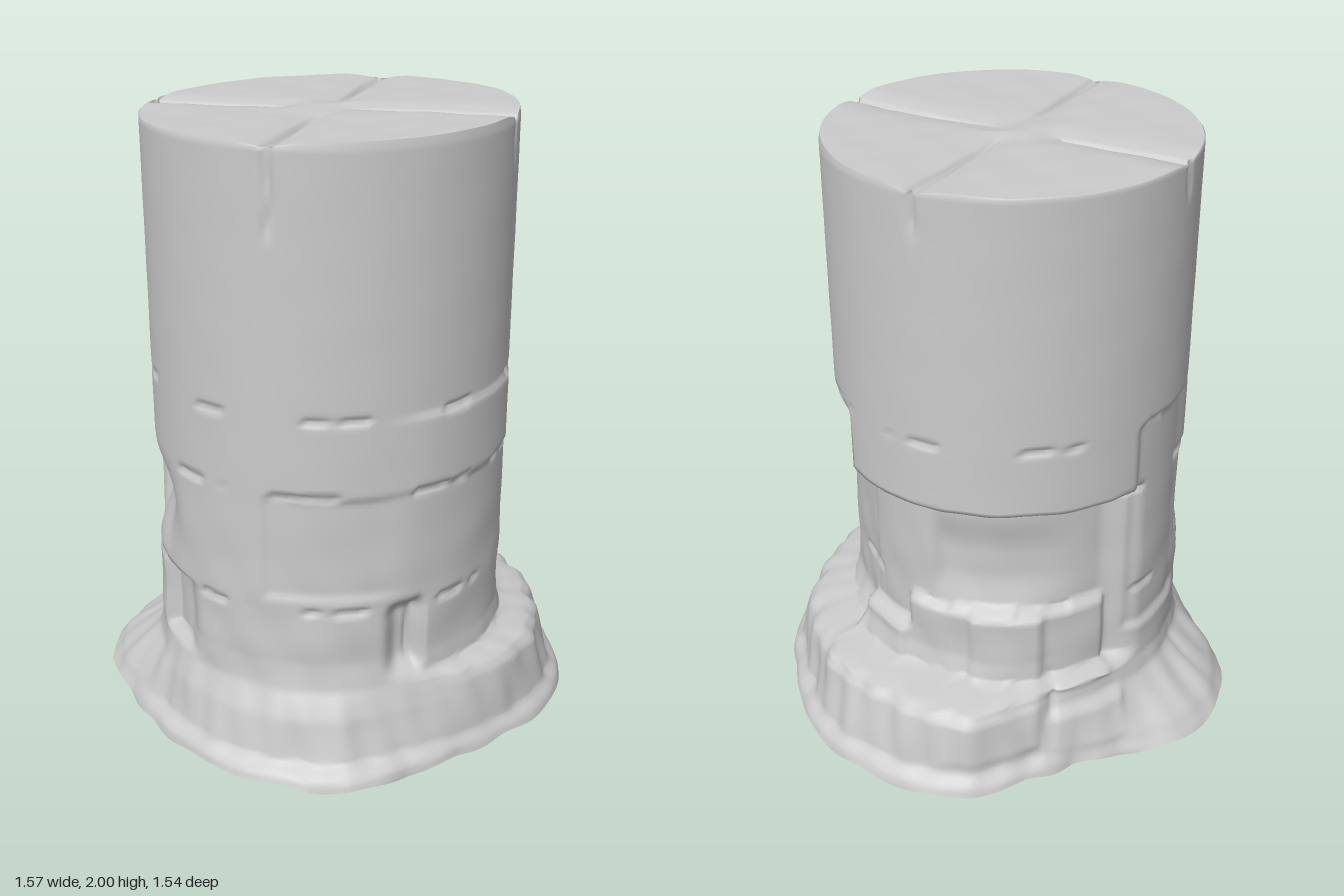
import * as THREE from 'three';

const SEG = 256, ROWS = 160, RINGS = 40;
const CX = 0.005, CZ = 0.05;
const stone = new THREE.MeshStandardMaterial({ color: 0xcccccc, side: THREE.DoubleSide });

// Outline of the flared foot: radius every 15 degrees, from +x towards -z
const RIM = [0.78, 0.8, 0.785, 0.76, 0.765, 0.78, 0.772, 0.77, 0.76, 0.68, 0.635, 0.67,
  0.765, 0.815, 0.8, 0.745, 0.735, 0.74, 0.77, 0.78, 0.79, 0.73, 0.715, 0.745];

// Flare amount against height: front slope, steep left side, and stepped ledge
const SLOPE = [[0, 1], [0.03, 0.93], [0.06, 0.62], [0.19, 0.36], [0.27, 0.08], [0.36, 0]];
const STEEP = [[0, 1], [0.03, 0.88], [0.06, 0.78], [0.15, 0.32], [0.2, 0.08], [0.26, 0]];
const LEDGE = [[0, 1], [0.03, 0.95], [0.06, 0.8], [0.24, 0.62], [0.275, 0.46], [0.29, 0.06], [0.36, 0]];

// Carved areas: [start deg, end deg, start blur, end blur, bottom, top, blur, push]
const PATCHES = [
  [36, 67, 50, 4, 0.3, 1.1, 0.2, -0.085],      // worn hollow beside the slab
  [67, 170, 4, 16, 0.29, 0.95, 0.025, -0.08],  // recess under the slab
  [100, 145, 6, 40, 0.6, 0.84, 0.16, -0.025],
  [172, 206, 3, 12, 0.4, 1.18, 0.03, -0.016],  // side set back
  [-40, 14, 20, 10, 0.94, 1.18, 0.02, 0.01],   // side bulging
  [207, 234, 4, 24, 0.66, 0.86, 0.2, -0.055],  // front hollows
  [228, 246, 3, 14, 0.3, 0.55, 0.03, -0.045],
  [316, 326, 7, 4, 0.32, 0.55, 0.06, -0.045],
  [277, 316, 3, 14, 0.6, 0.93, 0.03, -0.01]
];
// Courses of stones around the back
for (let i = 0; i < 4; i++) {
  const start = 64 + i * 25;
  PATCHES.push([start, start + 25, 3, 3, 0.28, i === 0 ? 0.42 : 0.55, 0.04, i % 2 ? 0.03 : 0.05]);
}
for (let i = 0; i < 2; i++) {
  const start = 112 + i * 29;
  PATCHES.push([start, start + 26, 4, 4, 0.1 - i * 0.04, 0.26 - i * 0.06, 0.04, 0.03]);
}

// Cracks across the top
const CRACKS = [
  [[-0.1, -0.55], [-0.06, -0.3], [-0.02, -0.06]],
  [[0.6, -0.05], [0.32, -0.02], [0.06, 0.04], [0.03, 0.2], [0.11, 0.66]],
  [[-0.59, 0.16], [-0.35, 0.12], [-0.16, 0.08]]
];

// Vertical splits: [angle deg, bottom, top]
const SPLITS = [[280, 1.74, 2.05], [9, 1.87, 2.05], [100, 1.86, 2.05], [191, 1.88, 2.05],
  [324, 0.34, 0.55], [85, 0.05, 0.28], [142, 0.02, 0.3], [200, 0.05, 0.2], [52, 0.06, 0.26]];

const smooth = THREE.MathUtils.smoothstep;
const band = (v, a, b, s, e = s) => smooth(v, a - s / 2, a + s / 2) * (1 - smooth(v, b - e / 2, b + e / 2));
const bump = (d, w) => Math.exp(-(d * d) / (w * w));
const angleGap = (a, b) => ((a - b + 540) % 360) - 180;

function noise(a, y) {
  return (Math.sin(a * 5 + y * 7) + Math.sin(a * 11 - y * 13 + 1) + Math.sin(a * 19 + y * 23 + 2)
    + Math.sin(a * 3 - y * 31)) / 4;
}

function ramp(points, y) {
  for (let i = 1; i < points.length; i++) {
    const [y0, v0] = points[i - 1], [y1, v1] = points[i];
    if (y <= y1) return v0 + (v1 - v0) * Math.max(0, (y - y0) / (y1 - y0));
  }
  return 0;
}

function rimRadius(deg) {
  const i = Math.floor(deg / 15) % 24, t = deg / 15 - Math.floor(deg / 15);
  return THREE.MathUtils.lerp(RIM[i], RIM[(i + 1) % 24], t);
}

function topHeight(x, z) {
  let nearest = 1;
  for (const path of CRACKS) {
    for (let i = 1; i < path.length; i++) {
      const [ax, az] = path[i - 1], [bx, bz] = path[i];
      const dx = bx - ax, dz = bz - az;
      const t = THREE.MathUtils.clamp(((x - ax) * dx + (z - az) * dz) / (dx * dx + dz * dz), 0, 1);
      nearest = Math.min(nearest, Math.hypot(x - ax - dx * t, z - az - dz * t));
    }
  }
  const r = Math.hypot(x - CX, z - CZ);
  return 1.99 + 0.01 * x / 0.58 - 0.022 * bump(nearest, 0.01) * smooth(r, 0, 0.4)
    - 0.012 * bump(nearest, 0.06) + 0.002 * noise(x * 2, z);
}

// A point on the weathered wall; t runs from foot to top
function wallPoint(a, t) {
  const deg = THREE.MathUtils.radToDeg(a), c = Math.cos(a), s = -Math.sin(a);
  const foot = 0.01 + 0.01 * Math.sin(a * 6) * Math.sin(a * 11 + 1);
  const y = foot + (1.99 - foot) * t;
  let r = 0.575 + 0.013 * s * s;
  for (const [a0, a1, s0, s1, y0, y1, blur, push] of PATCHES) {
    const half = (a1 - a0) / 2;
    r += push * band(angleGap(deg, a0 + half), -half, half, s0, s1) * band(y, y0, y1, blur);
  }
  // Broken horizontal joints
  for (const [level, depth, gap] of [[1.185, 0.014, 0.15], [0.94, 0.016, -0.1], [0.55, 0.016, 0.1]]) {
    const on = smooth(Math.sin(a * 9 + level * 20) + 0.6 * Math.sin(a * 23 + level * 9), gap, gap + 0.6);
    r -= depth * on * bump(y - level - 0.004 * noise(a, 1), 0.009);
  }
  for (const [at, y0, y1] of SPLITS) {
    r -= 0.016 * bump(angleGap(deg, at + 0.5 * Math.sin(y * 25)), 0.9) * band(y, y0, y1, 0.1);
  }
  r += noise(a, y) * (0.0006 + 0.006 * (1 - smooth(y, 0.2, 1)));
  r -= 0.005 * smooth(y, 1.975, 1.995);
  // Blend towards the foot outline
  const ledge = band(angleGap(deg, 48), -78, 84, 35, 24);
  const steep = band(deg, 145, 235, 25);
  let f = THREE.MathUtils.lerp(ramp(SLOPE, y - 0.01), ramp(STEEP, y - 0.01), steep);
  f = THREE.MathUtils.lerp(f, ramp(LEDGE, y - 0.01), ledge);
  f = Math.max(0, f + 0.36 * f * (1 - f) * noise(a * 2, y * 0.5));
  const rim = rimRadius(deg) + 0.004 * Math.sin(a * 17) * Math.sin(a * 7);
  const x = THREE.MathUtils.lerp(CX + r * c, rim * c, f);
  const z = THREE.MathUtils.lerp(CZ + r * s, rim * s, f);
  return [x, t === 1 ? topHeight(x, z) : y, z];
}

function topPoint(a, t) {
  const [ex, , ez] = wallPoint(a, 1);
  const x = THREE.MathUtils.lerp(ex, CX, t), z = THREE.MathUtils.lerp(ez, CZ, t);
  return [x, topHeight(x, z), z];
}

// Closed loops of points joined into a smooth skin
function skin(point, rows) {
  const positions = [], index = [];
  for (let j = 0; j <= rows; j++) {
    for (let i = 0; i < SEG; i++) {
      positions.push(...point((i / SEG) * Math.PI * 2, j / rows));
      if (j === rows) continue;
      const n = (i + 1) % SEG;
      const a = j * SEG + i, b = j * SEG + n, c = b + SEG, d = a + SEG;
      index.push(a, b, c, a, c, d);
    }
  }
  const g = new THREE.BufferGeometry();
  g.setAttribute('position', new THREE.Float32BufferAttribute(positions, 3));
  g.setIndex(index);
  g.computeVertexNormals();
  return g;
}

export function createModel() {
  const group = new THREE.Group();
  group.name = 'ruinedColumn';
  const parts = { columnWall: skin(wallPoint, ROWS), crackedTop: skin(topPoint, RINGS) };
  for (const [name, geometry] of Object.entries(parts)) {
    const mesh = new THREE.Mesh(geometry, stone);
    mesh.name = name;
    group.add(mesh);
  }
  return group;
}
